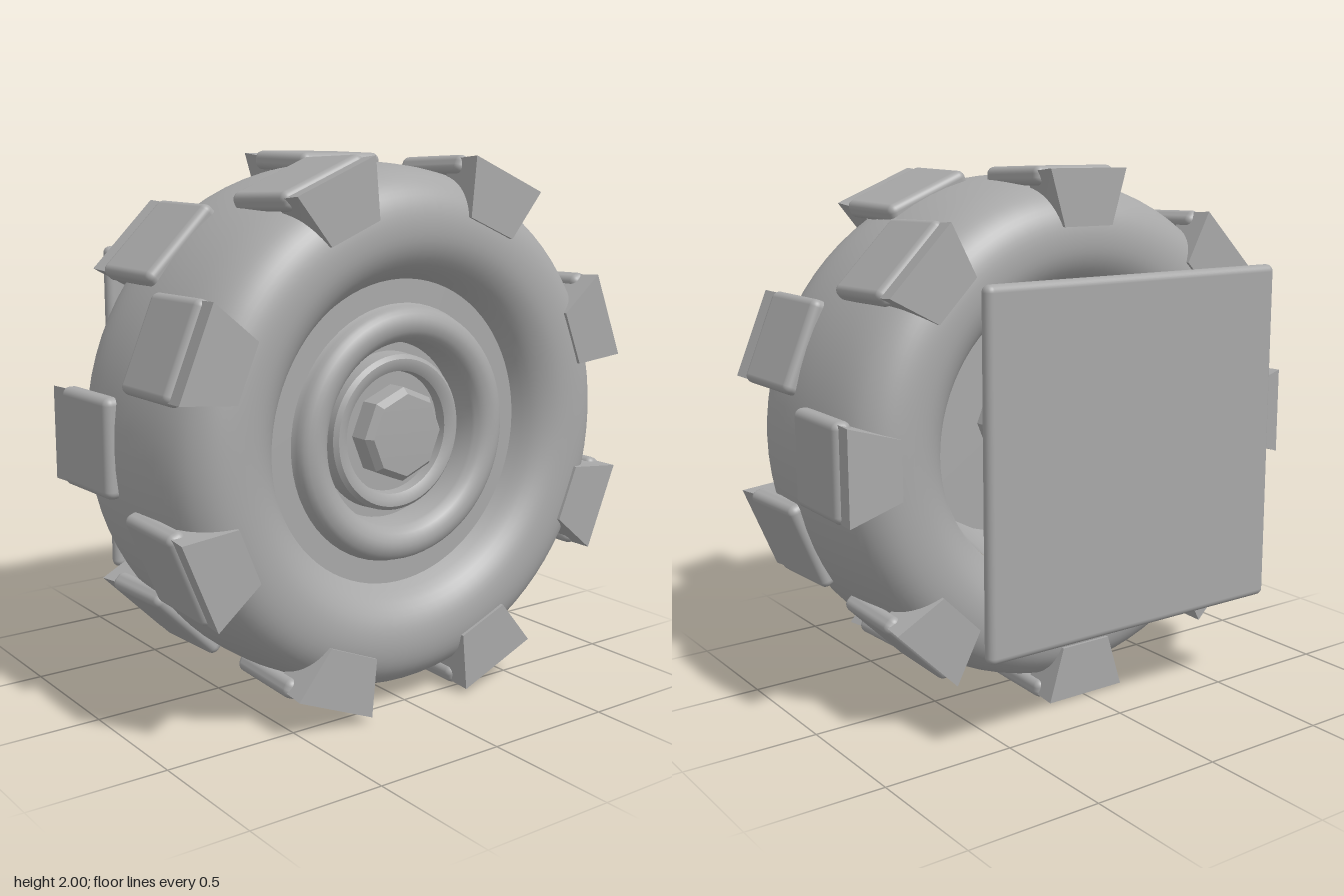
import * as THREE from 'three';
import { toCreasedNormals } from 'three/addons/utils/BufferGeometryUtils.js';
import { RoundedBoxGeometry } from 'three/addons/geometries/RoundedBoxGeometry.js';

const grey = new THREE.MeshStandardMaterial({ color: 0xa8a8a8 });
grey.name = 'plain grey';

function part(name, geometry, parent) {
  const mesh = new THREE.Mesh(geometry, grey);
  mesh.name = name;
  parent.add(mesh);
  return mesh;
}

// Profile points are [radius, x]; the result turns around the x axis
function turned(points, segments = 64, crease = 0.6) {
  const g = new THREE.LatheGeometry(points.map(([r, x]) => new THREE.Vector2(r, x)), segments);
  g.rotateX(0);
  g.rotateZ(-Math.PI / 2);
  return toCreasedNormals(g, crease);
}

function smooth(points, n) {
  const curve = new THREE.SplineCurve(points.map(([r, x]) => new THREE.Vector2(r, x)));
  return curve.getPoints(n).map((p) => [p.x, p.y]);
}

// Shoulder lug: a box that narrows towards the axle
function lugGeometry() {
  const g = new THREE.BoxGeometry(0.15, 0.205, 0.34);
  const p = g.attributes.position;
  for (let i = 0; i < p.count; i++) {
    if (p.getY(i) < 0) p.setZ(i, p.getZ(i) * 0.63);
    else if (p.getX(i) < 0) p.setY(i, p.getY(i) - 0.015);
  }
  const flat = g.toNonIndexed();
  flat.computeVertexNormals();
  return flat;
}

export function createModel() {
  const model = new THREE.Group();
  model.name = 'wheel';
  const wheel = new THREE.Group();
  wheel.name = 'axleCentre';
  wheel.position.y = 1;
  model.add(wheel);

  // Tyre: bulging walls around a nearly flat tread
  const half = [[0.55, -0.29], [0.6, -0.375], [0.67, -0.424], [0.75, -0.436], [0.83, -0.42],
    [0.89, -0.378], [0.93, -0.31], [0.954, -0.19]];
  const section = [...half, [0.964, 0], ...half.slice().reverse().map(([r, x]) => [r, -x])];
  part('tyre', turned(smooth(section.map(([r, x]) => [r, x + 0.15]), 56), 80), wheel);

  // Hub face with its raised ring and groove
  part('hubFace', turned([
    [0.56, 0.45], [0.47, 0.45], ...smooth([[0.465, 0.46], [0.45, 0.5], [0.405, 0.52], [0.36, 0.505], [0.335, 0.47]], 12),
    [0.325, 0.37], [0.29, 0.37], [0.285, 0.44], [0.27, 0.455], [0.25, 0.455],
    [0.225, 0.44], [0.22, 0.4], [0, 0.4],
  ]), wheel);

  // Hollow back of the rim
  part('rimBack', turned([[0, 0.22], [0.46, 0.22], [0.5, 0.1], [0.55, -0.14]], 32), wheel);

  // Eight-sided hub cap
  part('hubCap', turned([[0.172, 0.38], [0.172, 0.475], [0.15, 0.5], [0, 0.505]], 8, 0.2), wheel);

  // Axle with nut and flared neck
  part('axle', turned([[0.15, -0.3], [0.15, 0.23]], 8, 0.2), wheel);
  part('axleNut', turned([[0, -0.36], [0.2, -0.36], [0.213, -0.35], [0.213, -0.3], [0.2, -0.285], [0, -0.285]], 8, 0.2), wheel);
  part('axleNeck', turned([[0.175, -0.44], [0.16, -0.41], [0.155, -0.35]], 24), wheel);

  // Mounting dome and square plate
  part('mountDome', turned([
    [0, -0.545], [0.525, -0.545],
    ...smooth([[0.525, -0.53], [0.515, -0.49], [0.485, -0.45], [0.42, -0.428]], 10), [0, -0.425],
  ], 48), wheel);
  part('mountPlate', new RoundedBoxGeometry(0.055, 1.28, 1.28, 4, 0.026), wheel).position.x = -0.567;

  // Clamps on the dome edge
  for (const sy of [1, -1]) {
    for (const sz of [1, -1]) {
      const clamp = part('domeClamp', new RoundedBoxGeometry(0.06, 0.07, 0.16, 3, 0.022), wheel);
      clamp.position.set(-0.44, sy * 0.385, sz * 0.29);
      clamp.rotation.x = sy * sz * 0.645;
    }
  }

  // Two staggered rows of tread blocks, each with a shoulder lug
  const padShape = new RoundedBoxGeometry(0.335, 0.07, 0.355, 4, 0.028);
  const lugShape = lugGeometry();
  for (let i = 0; i < 16; i++) {
    const outer = i % 2 === 1;
    const block = new THREE.Group();
    block.name = 'treadBlock';
    block.position.x = 0.15;
    block.rotation.order = 'XYZ';
    block.rotation.x = (i * Math.PI) / 8;
    // Blocks of the inner row are turned half round to face -x
    if (!outer) block.rotation.y = Math.PI;
    wheel.add(block);
    const pad = part('treadPad', padShape, block);
    pad.position.set(0.205, 0.962, 0);
    pad.rotation.z = 0.03;
    part('shoulderLug', lugShape, block).position.set(0.368, 0.89, 0);
  }
  return model;
}
